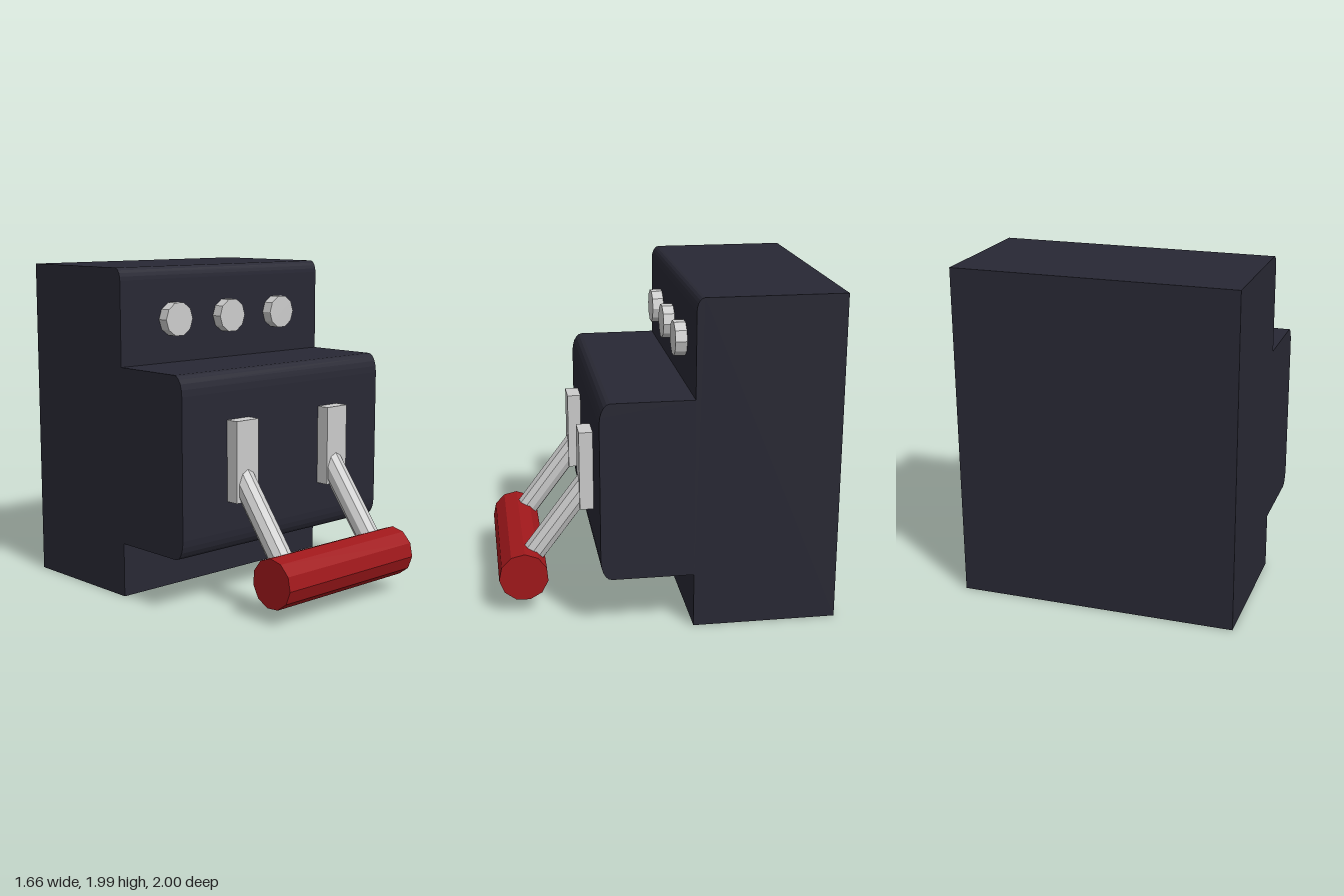
import * as THREE from 'three';

export function createModel() {
  const group = new THREE.Group();
  const dark = new THREE.MeshStandardMaterial({ color: 0x282834, flatShading: true });
  const red = new THREE.MeshStandardMaterial({ color: 0xa0181b, flatShading: true });
  const grey = new THREE.MeshStandardMaterial({ color: 0xcccccc, flatShading: true });

  function add(name, geometry, material, x = 0, y = 0, z = 0) {
    const mesh = new THREE.Mesh(geometry, material);
    mesh.name = name;
    mesh.position.set(x, y, z);
    group.add(mesh);
    return mesh;
  }

  // Stepped housing: side profile (z, y) extruded across the width
  const profile = new THREE.Shape();
  profile.moveTo(-1, 0);
  profile.lineTo(-0.135, 0);
  profile.lineTo(-0.135, 0.33);
  profile.lineTo(0.35, 0.33);
  profile.bezierCurveTo(0.385, 0.33, 0.415, 0.38, 0.415, 0.45);
  profile.lineTo(0.415, 1.285);
  profile.bezierCurveTo(0.415, 1.355, 0.385, 1.405, 0.35, 1.405);
  profile.lineTo(-0.135, 1.405);
  profile.lineTo(-0.135, 1.915);
  profile.bezierCurveTo(-0.135, 1.955, -0.155, 1.99, -0.18, 1.99);
  profile.lineTo(-1, 1.99);
  profile.closePath();
  const housing = new THREE.ExtrudeGeometry(profile, { depth: 1.66, bevelEnabled: false, curveSegments: 5 });
  housing.rotateY(-Math.PI / 2);
  add('housing', housing, dark, 0.83, 0, 0);

  // Row of round buttons on the upper face
  const button = new THREE.CylinderGeometry(0.105, 0.105, 0.09, 10);
  button.rotateY(Math.PI / 2);
  button.rotateX(Math.PI / 2);
  for (const x of [-0.432, 0.005, 0.44]) add('button', button, grey, x, 1.672, -0.111);

  // Two mounting plates, each with a sloping arm down to the handle
  const armTop = new THREE.Vector3(0, 0.8, 0.427);
  const armEnd = new THREE.Vector3(0, 0.24, 0.85);
  const armDir = armEnd.clone().sub(armTop);
  const arm = new THREE.CylinderGeometry(0.072, 0.072, armDir.length(), 10);
  const armMid = armTop.clone().add(armEnd).multiplyScalar(0.5);
  for (const [plateX, armX] of [[-0.398, -0.396], [0.37, 0.362]]) {
    add('mountingPlate', new THREE.BoxGeometry(0.174, 0.487, 0.1), grey, plateX, 0.875, 0.448);
    const mesh = add('handleArm', arm, grey, armX, armMid.y, armMid.z);
    mesh.quaternion.setFromUnitVectors(new THREE.Vector3(0, -1, 0), armDir.clone().normalize());
  }

  // Red grip bar
  const grip = new THREE.CylinderGeometry(0.15, 0.15, 1.068, 11);
  grip.rotateY(-THREE.MathUtils.degToRad(4.7));
  grip.rotateZ(Math.PI / 2);
  add('gripBar', grip, red, -0.014, 0.236, 0.85);

  return group;
}
